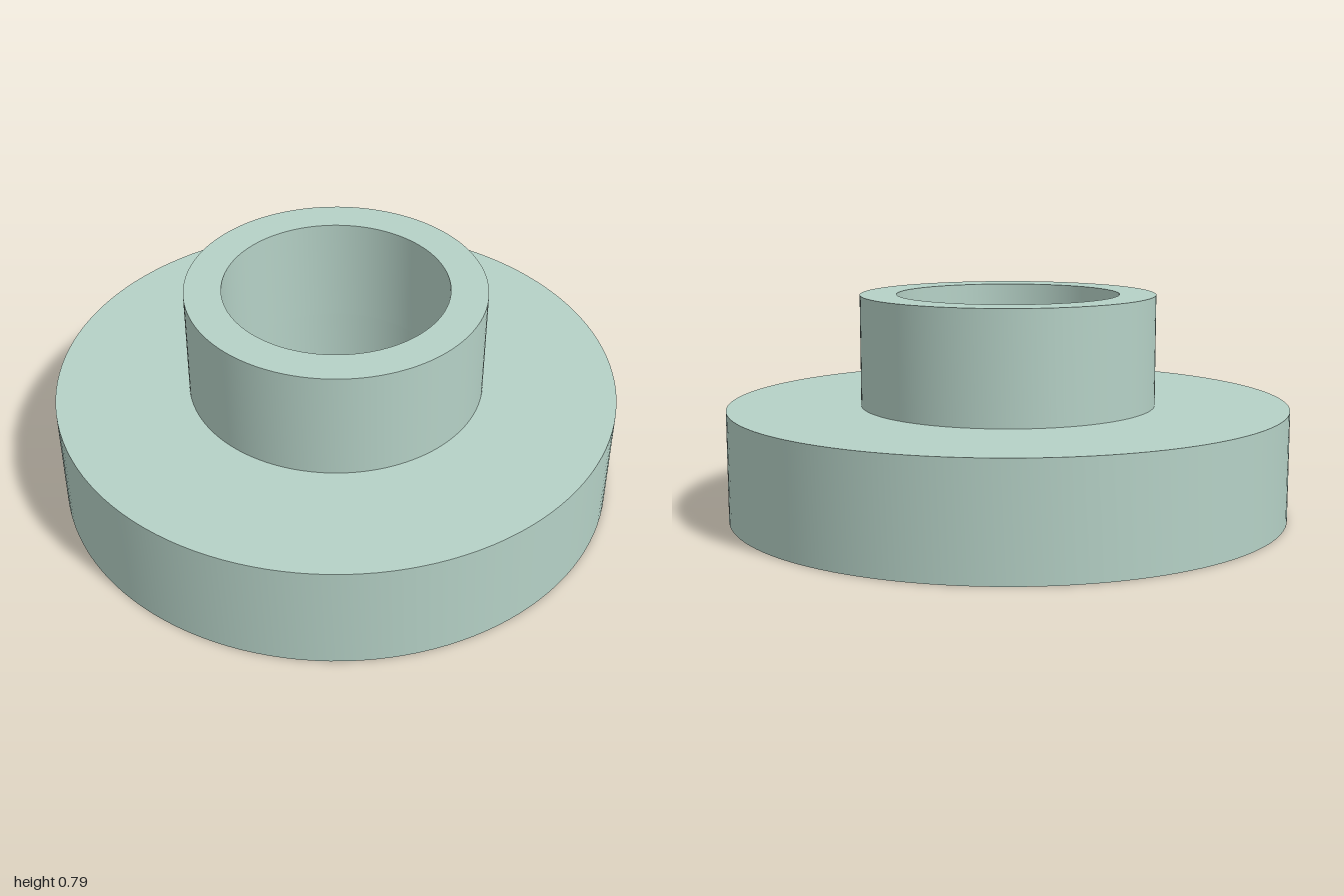
import * as THREE from 'three';
import { toCreasedNormals } from 'three/addons/utils/BufferGeometryUtils.js';

const BORE = 0.396, COLLAR = 0.526, FLANGE = 1;
const STEP = 0.393, TOP = 0.787;

export function createModel() {
  const group = new THREE.Group();
  group.name = 'flangedBushing';
  const material = new THREE.MeshStandardMaterial({ color: 0xb5d1c6 });

  // Revolve a profile, keeping its corners sharp and its walls smooth
  const addTurned = (name, profile) => {
    const points = profile.map(([r, y]) => new THREE.Vector2(r, y));
    const geometry = toCreasedNormals(new THREE.LatheGeometry(points, 128), Math.PI / 6);
    const mesh = new THREE.Mesh(geometry, material);
    mesh.name = name;
    group.add(mesh);
  };

  // Wide flange: lower bore, underside, rim and upper face out to the collar
  addTurned('flange', [[BORE, STEP], [BORE, 0], [FLANGE, 0], [FLANGE, STEP], [COLLAR, STEP]]);

  // Raised collar: outer wall, top ring and upper bore
  addTurned('collar', [[COLLAR, STEP], [COLLAR, TOP], [BORE, TOP], [BORE, STEP]]);

  return group;
}
